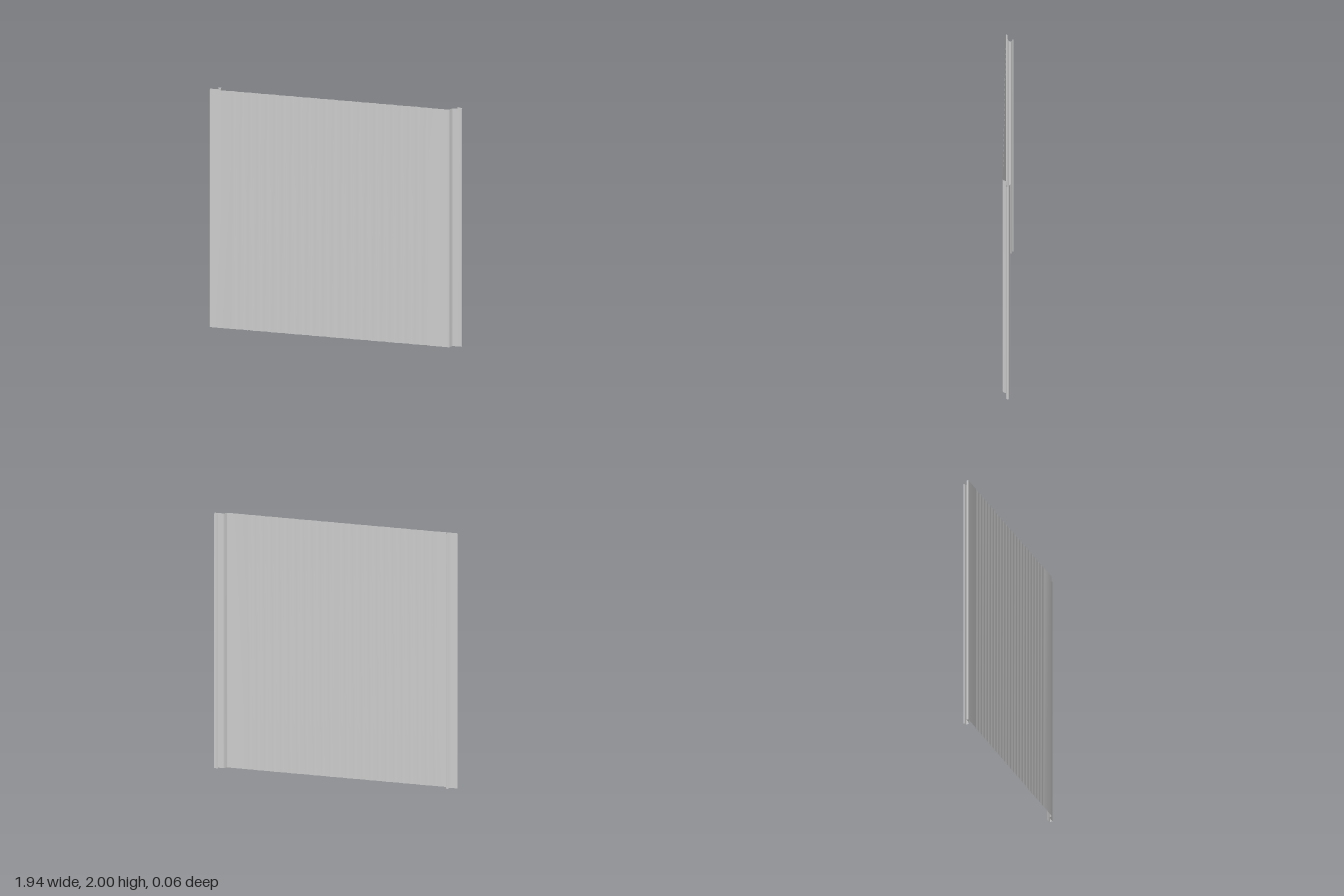
import * as THREE from 'three';
import { toCreasedNormals } from 'three/addons/utils/BufferGeometryUtils.js';

const HEIGHT = 2;

// Round the inner corners of an [x, z] polyline with radius-like setback r.
function rounded(points, r) {
  const p = points.map(([x, z]) => new THREE.Vector2(x, z));
  const out = [p[0]];
  for (let i = 1; i < p.length - 1; i++) {
    const toward = (q) => {
      const d = q.clone().sub(p[i]);
      return p[i].clone().addScaledVector(d.normalize(), Math.min(r, q.distanceTo(p[i]) * 0.45));
    };
    out.push(...new THREE.QuadraticBezierCurve(toward(p[i - 1]), p[i], toward(p[i + 1])).getPoints(5));
  }
  out.push(p[p.length - 1]);
  return out;
}

// Sweep a cross-section vertically into a thin sheet.
function sheet(name, section, material) {
  const geo = new THREE.PlaneGeometry(1, 1, section.length - 1, 1);
  const pos = geo.attributes.position;
  for (let i = 0; i < pos.count; i++) {
    const s = section[i % section.length];
    pos.setXYZ(i, s.x, i < section.length ? HEIGHT : 0, s.y);
  }
  const mesh = new THREE.Mesh(toCreasedNormals(geo, 0.45), material);
  mesh.name = name;
  return mesh;
}

export function createModel() {
  const group = new THREE.Group();
  group.name = 'interlockingWallPanel';
  const metal = new THREE.MeshStandardMaterial({ color: 0xcccccc, side: THREE.DoubleSide });

  // Folded hook behind the right edge
  group.add(sheet('hookEdge', rounded([
    [-0.915, -0.031], [-0.912, -0.022], [-0.889, -0.019], [-0.889, 0.002],
    [-0.925, 0.013], [-0.972, 0.013], [-0.972, 0.028], [-0.95, 0.028],
  ], 0.006), metal));

  // Front face with shallow ribs between two flat margins
  const start = -0.82, end = 0.73, ribs = 24, pitch = (end - start) / ribs;
  const face = [new THREE.Vector2(-0.95, 0.028)];
  for (let i = 0; i < ribs; i++) {
    const x = start + i * pitch;
    for (const [t, z] of [[0.2, 0.028], [0.35, 0.024], [0.65, 0.024], [0.8, 0.028]])
      face.push(new THREE.Vector2(x + t * pitch, z));
  }
  face.push(new THREE.Vector2(0.86, 0.028));
  group.add(sheet('ribbedFace', face, metal));

  // Stepped joint, fixing flange and folded return on the left edge
  group.add(sheet('fixingFlange', rounded([
    [0.86, 0.028], [0.879, 0.028], [0.898, 0.0], [0.972, 0.0],
    [0.972, -0.021], [0.951, -0.022], [0.933, -0.031],
  ], 0.007), metal));

  return group;
}
